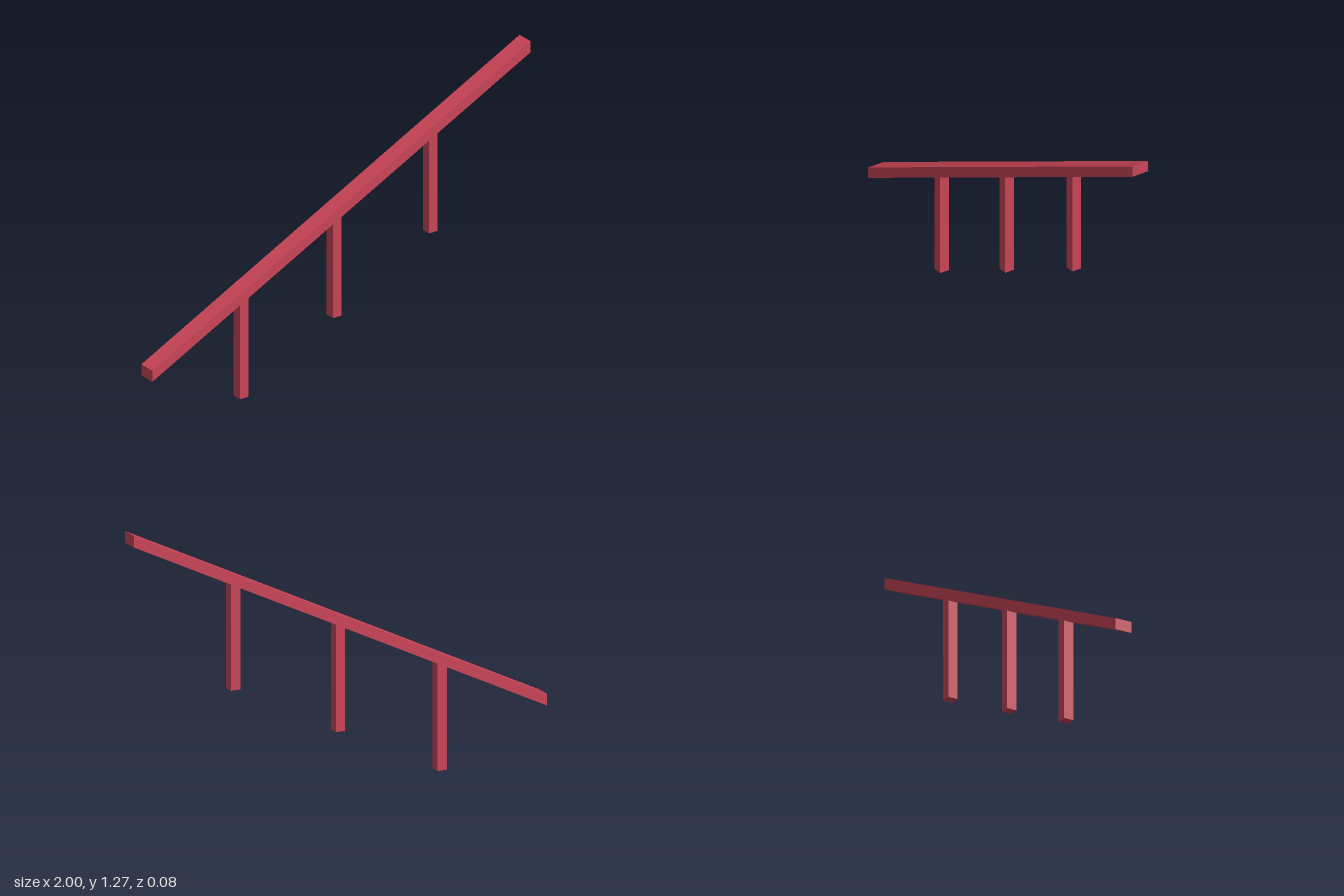
import * as THREE from 'three';

const SLOPE = 0.5;
const RAIL_BOTTOM = 0.722; // underside height at x = 0
const RAIL_TOP = 0.774;

const underside = (x) => RAIL_BOTTOM + SLOPE * x;
const topside = (x) => RAIL_TOP + SLOPE * x;

// Prism with a front outline, centred on z = 0
function prism(name, points, depth, material) {
  const shape = new THREE.Shape(points.map(([x, y]) => new THREE.Vector2(x, y)));
  const geometry = new THREE.ExtrudeGeometry(shape, { depth, bevelEnabled: false });
  geometry.translate(0, 0, -depth / 2);
  const mesh = new THREE.Mesh(geometry, material);
  mesh.name = name;
  return mesh;
}

export function createModel() {
  const group = new THREE.Group();
  group.name = 'slopedHandrail';
  const red = new THREE.MeshStandardMaterial({ color: 0xc94456 });
  red.name = 'red';

  // Sloping rail with plumb-cut ends
  group.add(prism('rail', [
    [-1, underside(-1)], [1, underside(1)], [1, topside(1)], [-1, topside(-1)],
  ], 0.08, red));

  // Upright posts, their tops cut to the slope of the rail
  const half = 0.0225;
  const posts = [[-0.502, 0], [-0.01, 0.246], [0.498, 0.505]];
  posts.forEach(([x, foot], i) => {
    const l = x - half;
    const r = x + half;
    group.add(prism(`post${i + 1}`, [
      [l, foot], [r, foot], [r, underside(r)], [l, underside(l)],
    ], 0.046, red));
  });

  return group;
}
